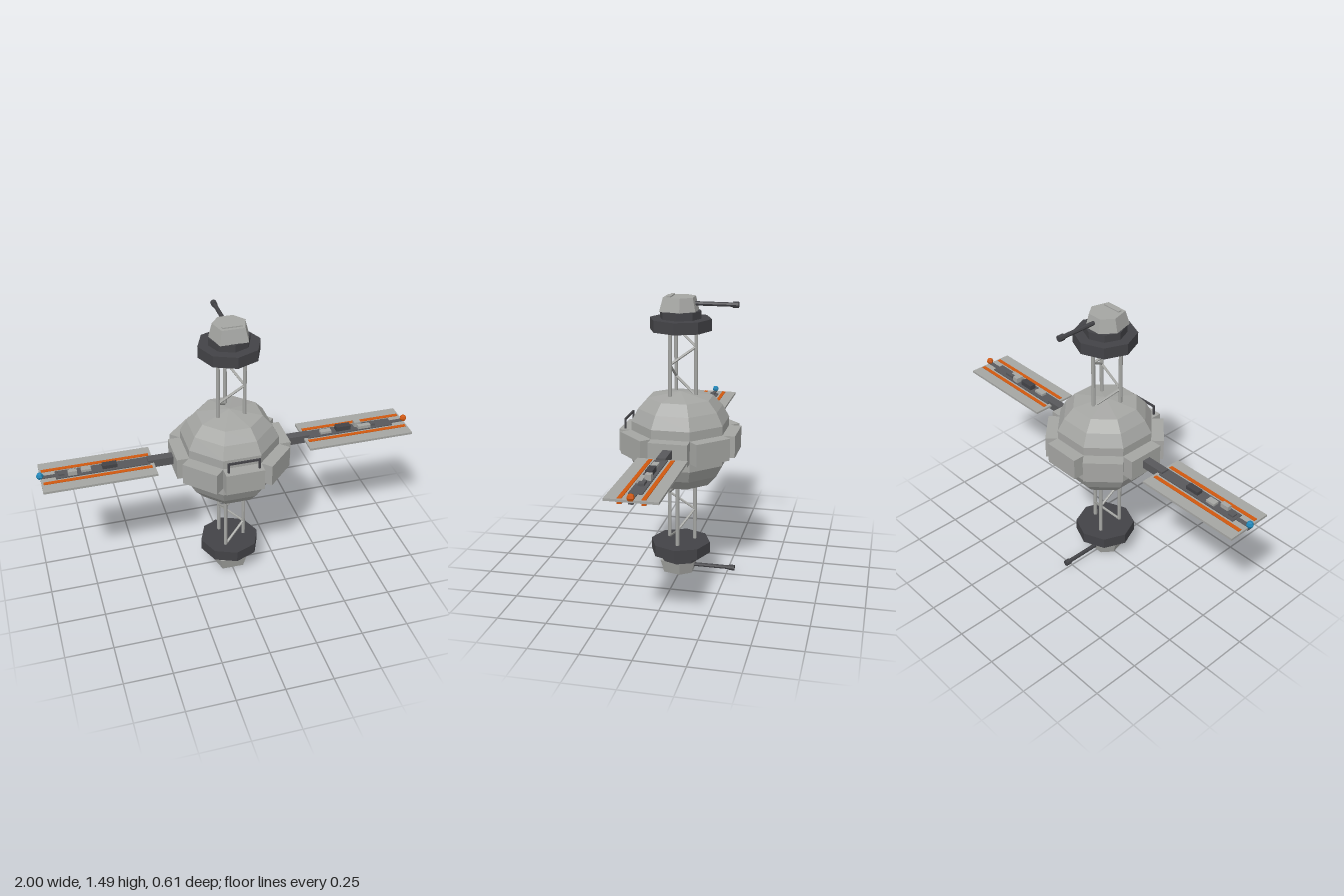
import * as THREE from 'three';
import { ConvexGeometry } from 'three/addons/geometries/ConvexGeometry.js';

const MID = 0.747; // height of the station's centre

function material(name, color) {
  const m = new THREE.MeshStandardMaterial({ color, flatShading: true });
  m.name = name;
  return m;
}

export function createModel() {
  const hull = material('hull grey', 0xa5a6a3);
  const dark = material('dark grey', 0x434347);
  const mid = material('medium grey', 0x58585b);
  const orange = material('orange', 0xd0580f);
  const blue = material('blue', 0x1f86b8);

  const model = new THREE.Group();
  model.name = 'spaceStation';

  function add(parent, name, geometry, mat, x = 0, y = 0, z = 0) {
    const mesh = new THREE.Mesh(geometry, mat);
    mesh.name = name;
    mesh.position.set(x, y, z);
    parent.add(mesh);
    return mesh;
  }
  const box = (parent, name, mat, w, h, d, x, y, z) =>
    add(parent, name, new THREE.BoxGeometry(w, h, d), mat, x, y, z);

  // round bar between two points
  function bar(parent, name, mat, a, b, r, sides = 6) {
    const dir = b.clone().sub(a);
    const mesh = add(parent, name, new THREE.CylinderGeometry(r, r, dir.length(), sides), mat);
    mesh.position.copy(a).add(b).multiplyScalar(0.5);
    mesh.quaternion.setFromUnitVectors(new THREE.Vector3(0, 1, 0), dir.normalize());
    return mesh;
  }

  const station = new THREE.Group();
  station.name = 'station';
  station.position.y = MID;
  model.add(station);

  // eight-sided central hull
  const half = [[0.2576, 0.105], [0.222, 0.17], [0.172, 0.225], [0, 0.253]];
  const profile = [...half.map(([r, y]) => [r, -y]).reverse(), ...half]
    .map(([r, y]) => new THREE.Vector2(r, y));
  add(station, 'centralHull', new THREE.LatheGeometry(profile, 8, Math.PI / 8), hull);

  // ring of modules around the hull
  for (let i = 0; i < 8; i++) {
    const a = i * Math.PI / 4;
    const m = box(station, 'ringModule', hull, 0.2, 0.115, 0.09,
      Math.sin(a) * 0.258, 0, Math.cos(a) * 0.258);
    m.rotation.y = a;
  }

  // window frame on the front module
  for (const s of [-1, 1]) {
    box(station, 'frameSide', dark, 0.01, 0.18, 0.009, s * 0.08, 0.023, 0.275);
    box(station, 'frameRail', dark, 0.17, 0.01, 0.009, 0, 0.023 + s * 0.085, 0.275);
  }

  // mast with lattice, platform and gun turret; built upwards from the centre
  function mast(name, startAngle) {
    const g = new THREE.Group();
    g.name = name;
    const at = (k, y) => {
      const a = startAngle - k * Math.PI * 2 / 3;
      return new THREE.Vector3(Math.sin(a) * 0.08, y, Math.cos(a) * 0.08);
    };
    for (let k = 0; k < 3; k++) bar(g, 'mastLeg', hull, at(k, 0.2), at(k, 0.58), 0.01, 8);
    for (let k = 0; k < 4; k++)
      bar(g, 'mastBrace', hull, at(k, 0.573 - k * 0.085), at(k + 1, 0.488 - k * 0.085), 0.007);

    add(g, 'platform', new THREE.CylinderGeometry(0.16, 0.16, 0.06, 8), dark, 0, 0.602, 0);
    add(g, 'turretBase', new THREE.CylinderGeometry(0.107, 0.107, 0.04, 8), dark, 0, 0.651, 0);

    // tapered turret
    const outline = [[0.072, 0.095], [0.102, -0.015], [0.048, -0.085]];
    const pts = [];
    for (const [x, z] of outline) for (const s of [-1, 1]) {
      pts.push(new THREE.Vector3(s * x, 0.67, z));
      pts.push(new THREE.Vector3(s * x * 0.82, 0.741, z * 0.82));
    }
    add(g, 'turret', new ConvexGeometry(pts), hull);
    box(g, 'turretRib', hull, 0.1, 0.012, 0.02, 0, 0.741, 0.05);

    const p = z => new THREE.Vector3(0, 0.708, z);
    bar(g, 'gunBarrel', dark, p(-0.05), p(-0.27), 0.011, 8);
    bar(g, 'gunMuzzle', dark, p(-0.265), p(-0.295), 0.016, 8);
    station.add(g);
    return g;
  }
  mast('upperMast', -Math.PI / 3);
  mast('lowerMast', Math.PI / 6).rotation.z = Math.PI;

  // wings: arm, panel, stripes, spine and tip light
  function wing(name, s, tipMaterial, details) {
    const g = new THREE.Group();
    g.name = name;
    station.add(g);
    box(g, 'wingArm', mid, 0.16, 0.044, 0.046, s * 0.355, 0.005, 0);
    box(g, 'wingPanel', hull, 0.575, 0.012, 0.25, s * 0.6925, 0.006, 0);
    for (const z of [-0.055, 0.055])
      box(g, 'wingStripe', orange, 0.55, 0.028, 0.02, s * 0.695, 0.001, z);
    box(g, 'wingSpine', mid, 0.48, 0.03, 0.065, s * 0.665, 0.002, 0);
    box(g, 'tipBar', mid, 0.1, 0.024, 0.022, s * 0.93, 0.004, 0);
    for (const [x, z, w, h, d, mat] of details)
      box(g, 'equipmentBox', mat, w, h, d, x, 0.016 + h / 2, z);
    add(g, 'tipLight', new THREE.SphereGeometry(0.019, 6, 4), tipMaterial, s * 0.981, 0.025, 0);
  }
  wing('leftWing', 1, orange, [
    [0.53, 0.005, 0.06, 0.014, 0.03, hull],
    [0.63, 0, 0.08, 0.026, 0.035, dark],
    [0.715, -0.012, 0.035, 0.029, 0.03, hull],
    [0.745, 0.015, 0.07, 0.018, 0.025, hull],
    [0.785, 0, 0.055, 0.014, 0.03, mid],
  ]);
  wing('rightWing', -1, blue, [
    [-0.82, 0.015, 0.045, 0.024, 0.025, hull],
    [-0.75, -0.003, 0.05, 0.014, 0.035, hull],
    [-0.63, 0, 0.075, 0.02, 0.035, dark],
    [-0.875, 0, 0.03, 0.01, 0.03, mid],
  ]);

  return model;
}
